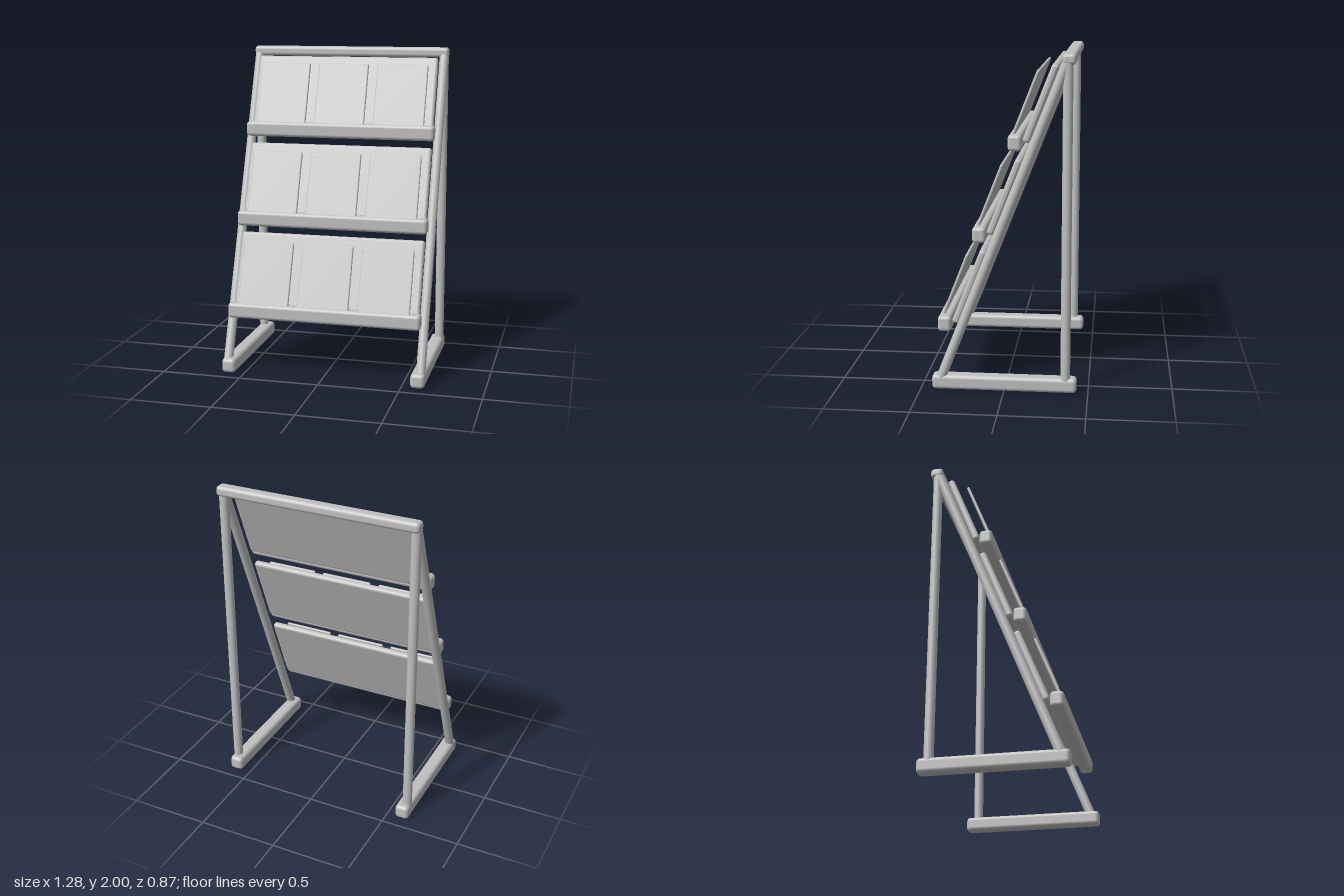
import * as THREE from 'three';
import { RoundedBoxGeometry } from 'three/addons/geometries/RoundedBoxGeometry.js';

export function createModel() {
  const model = new THREE.Group();
  model.name = 'displayRack';
  const grey = new THREE.MeshStandardMaterial({ name: 'paleGrey', color: 0xc0c0c0 });
  const tilt = -Math.atan2(0.725, 1.85); // lean of the front rails

  function add(name, geometry, x, y, z, rx = 0) {
    const mesh = new THREE.Mesh(geometry, grey);
    mesh.name = name;
    mesh.position.set(x, y, z);
    mesh.rotation.x = rx;
    model.add(mesh);
    return mesh;
  }
  const box = (w, h, d, r) => new RoundedBoxGeometry(w, h, d, 3, r);

  // Round rod between two points given as (y, z) at a fixed x
  function rod(name, x, y0, z0, y1, z1) {
    const a = new THREE.Vector3(x, y0, z0), b = new THREE.Vector3(x, y1, z1);
    const dir = b.clone().sub(a);
    const mesh = add(name, new THREE.CylinderGeometry(0.029, 0.029, dir.length(), 20),
      x, (y0 + y1) / 2, (z0 + z1) / 2);
    mesh.quaternion.setFromUnitVectors(new THREE.Vector3(0, 1, 0), dir.normalize());
  }

  // Side frames: foot, upright rear post and leaning front rail
  for (const [side, s] of [['left', 1], ['right', -1]]) {
    add(side + 'Foot', box(0.088, 0.09, 0.865, 0.024), s * 0.598, 0.045, 0);
    rod(side + 'RearPost', s * 0.612, 0.07, -0.365, 1.95, -0.365);
    rod(side + 'FrontRail', s * 0.612, 0.07, 0.378, 1.95, -0.358);
  }

  // Top crossbar
  add('topBar', box(1.285, 0.064, 0.078, 0.022), 0, 1.968, -0.371);

  // Three tiers: back panel, ledge and three leaning cards
  for (let i = 0; i < 3; i++) {
    const y = i * 0.545, z = -i * 0.209;
    add('backPanel', box(1.175, 0.48, 0.043, 0.018), 0, 0.622 + y, 0.21 + z, tilt);
    add('ledge', box(1.212, 0.095, 0.08, 0.022), 0, 0.397 + y, 0.358 + z);
    for (const x of [-0.382, -0.002, 0.378]) {
      add('card', box(0.324, 0.41, 0.018, 0.008), x, 0.617 + y, 0.301 + z, tilt);
    }
  }
  return model;
}
